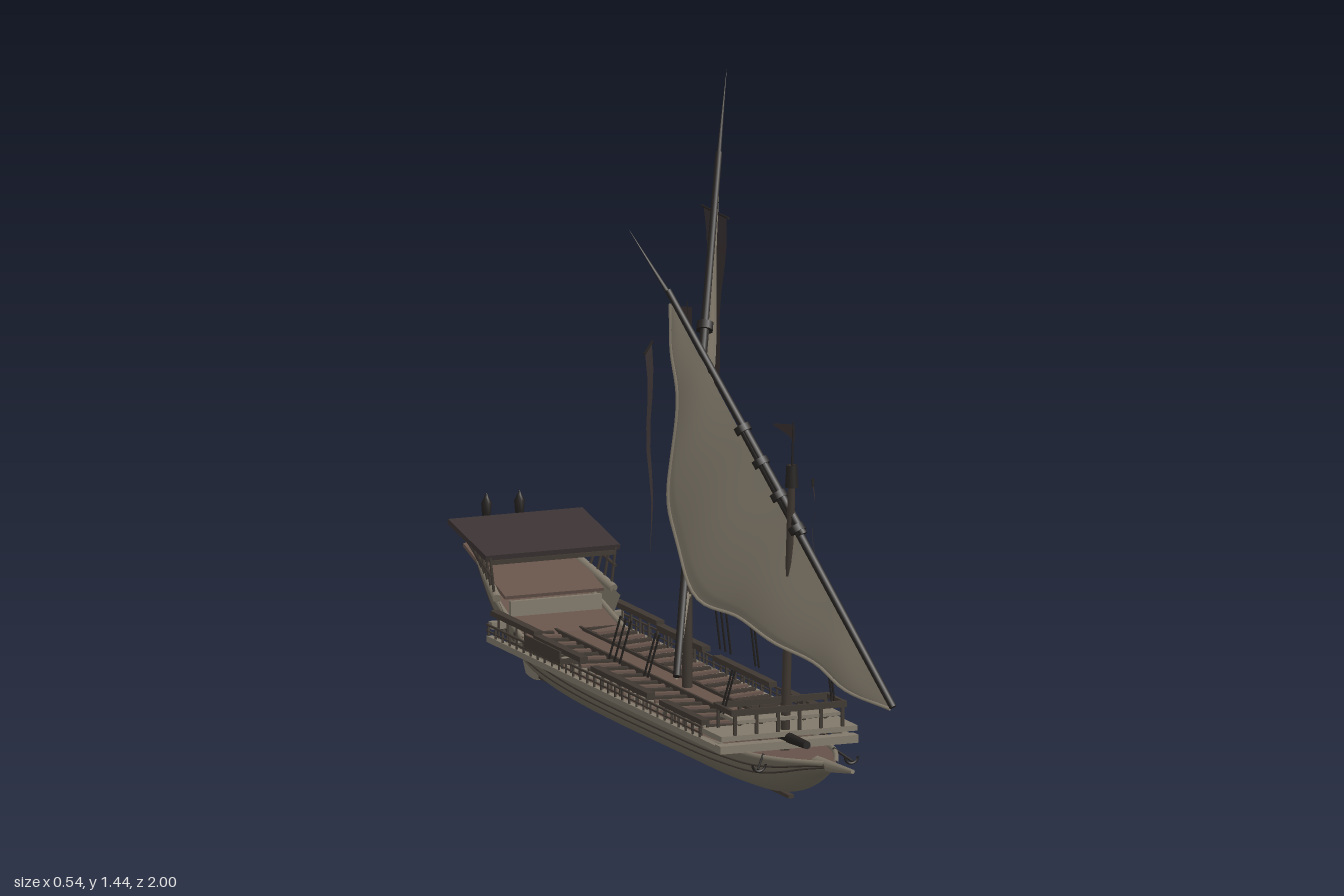
import * as THREE from 'three';

const mat = (name, color, side = THREE.FrontSide) => {
  const m = new THREE.MeshStandardMaterial({ color, side });
  m.name = name;
  return m;
};
const V = (x, y, z) => new THREE.Vector3(x, y, z);

export function createModel() {
  const hullWood = mat('weathered hull wood', 0x6f695b, THREE.DoubleSide);
  const paleWood = mat('pale wood', 0x81796a);
  const deckWood = mat('reddish deck wood', 0x66534a, THREE.DoubleSide);
  const darkWood = mat('dark wood', 0x3f3731);
  const spar = mat('black spar', 0x24211f);
  const canvas = mat('sail canvas', 0x857d6e, THREE.DoubleSide);
  const cloth = mat('dark cloth', 0x3a3233, THREE.DoubleSide);

  const model = new THREE.Group();
  model.name = 'galley';
  const ship = new THREE.Group();
  ship.name = 'ship';
  ship.position.x = -0.03;
  const rig = new THREE.Group();
  rig.name = 'rigging';
  model.add(ship, rig);

  const add = (parent, name, geo, m) => {
    const mesh = new THREE.Mesh(geo, m);
    mesh.name = name;
    parent.add(mesh);
    return mesh;
  };
  const box = (name, m, w, h, d, x, y, z) => {
    const mesh = add(ship, name, new THREE.BoxGeometry(w, h, d), m);
    mesh.position.set(x, y, z);
    return mesh;
  };
  // Round bar from a to b, radius r1 at a and r2 at b
  const bar = (parent, name, m, a, b, r1, r2 = r1, sides = 8) => {
    const mesh = add(parent, name, new THREE.CylinderGeometry(r2, r1, a.distanceTo(b), sides), m);
    mesh.position.copy(a).lerp(b, 0.5);
    mesh.quaternion.setFromUnitVectors(V(0, 1, 0), b.clone().sub(a).normalize());
    return mesh;
  };
  // Surface from rows of points
  const surface = (rows) => {
    const n = rows[0].length, idx = [];
    for (let i = 0; i < rows.length - 1; i++) for (let j = 0; j < n - 1; j++) {
      const a = i * n + j, b = a + n;
      idx.push(a, b, a + 1, b, b + 1, a + 1);
    }
    const g = new THREE.BufferGeometry().setFromPoints(rows.flat());
    g.setIndex(idx);
    g.computeVertexNormals();
    return g;
  };

  // Hull stations: z, half width, keel height, sheer height, sharpness
  const stations = [
    [0.87, 0.014, 0.112, 0.132, 1], [0.80, 0.045, 0.085, 0.126, 1], [0.74, 0.07, 0.055, 0.121, 1],
    [0.66, 0.097, 0.027, 0.118, 1], [0.50, 0.12, 0.015, 0.117, 1], [0.2, 0.133, 0.015, 0.117, 1],
    [-0.3, 0.133, 0.015, 0.12, 1], [-0.55, 0.126, 0.015, 0.142, 1.2], [-0.7, 0.12, 0.016, 0.185, 1.6],
    [-0.78, 0.115, 0.03, 0.215, 2], [-0.85, 0.108, 0.1, 0.25, 1.8], [-0.91, 0.1, 0.2, 0.28, 1.3],
    [-0.94, 0.092, 0.27, 0.295, 1]];
  const hullPoint = ([z, hw, yb, yt, e], t) => { // t from -1 (right rail) to 1 (left rail)
    const a = Math.abs(t) * Math.PI / 2;
    return V(Math.sign(t) * hw * Math.sin(a) ** e, yb + (yt - yb) * (1 - Math.cos(a)), z);
  };
  const hullCurves = [];
  for (let j = 0; j <= 24; j++)
    hullCurves.push(new THREE.CatmullRomCurve3(stations.map(s => hullPoint(s, j / 12 - 1))).getPoints(60));
  add(ship, 'hull', surface(hullCurves), hullWood);
  add(ship, 'deck', surface([hullCurves[0], hullCurves[24]].map(c => c.map(p => V(p.x * 0.98, p.y - 0.004, p.z)))), deckWood);
  for (const s of [-1, 1]) for (const t of [0.72, 0.84, 1]) {
    const c = new THREE.CatmullRomCurve3(stations.map(st => hullPoint(st, s * t)));
    add(ship, 'wale', new THREE.TubeGeometry(c, 60, t === 1 ? 0.006 : 0.0025, 6), t === 1 ? paleWood : darkWood);
  }
  bar(ship, 'bowSpur', paleWood, V(0, 0.118, 0.8), V(0, 0.138, 1.0), 0.018, 0.005);
  box('keel', darkWood, 0.014, 0.008, 1.42, 0, 0.014, -0.06);

  // Curved rudder blade
  const blade = new THREE.Shape();
  blade.moveTo(-0.765, 0.008);
  blade.quadraticCurveTo(-0.80, -0.002, -0.845, 0.008);
  blade.quadraticCurveTo(-0.89, 0.08, -0.945, 0.205);
  blade.lineTo(-0.925, 0.21);
  blade.quadraticCurveTo(-0.88, 0.085, -0.765, 0.016);
  const rudder = add(ship, 'rudder', new THREE.ExtrudeGeometry(blade, { depth: 0.012, bevelEnabled: false, curveSegments: 10 }), paleWood);
  rudder.rotation.y = -Math.PI / 2;
  rudder.position.x = 0.006;

  // Central gangway
  box('gangway', deckWood, 0.05, 0.03, 1.16, 0, 0.135, -0.04);
  for (const s of [-1, 1]) {
    box('gangwayEdge', darkWood, 0.006, 0.012, 1.16, s * 0.03, 0.15, -0.04);
    box('rowingDeck', deckWood, 0.05, 0.008, 1.2, s * 0.06, 0.128, -0.06);
    // Outrigger frame with its railing
    box('outriggerBeam', paleWood, 0.014, 0.014, 1.33, s * 0.158, 0.128, -0.03);
    box('outriggerFoot', darkWood, 0.006, 0.006, 1.26, s * 0.138, 0.118, -0.05);
    box('railTop', darkWood, 0.005, 0.004, 1.22, s * 0.162, 0.16, -0.09);
    box('railMiddle', darkWood, 0.003, 0.003, 1.22, s * 0.162, 0.146, -0.09);
    for (let i = 0; i <= 30; i++) {
      const z = 0.51 - i * 0.04;
      bar(ship, 'outriggerArm', darkWood, V(s * 0.115, 0.108, z), V(s * 0.16, 0.126, z), 0.003, 0.003, 5);
      box('railPost', darkWood, 0.004, 0.034, 0.004, s * 0.162, 0.144, z);
    }
    // Slanted rowing benches
    for (let i = 0; i < 27; i++) {
      const z = 0.48 - i * 0.042;
      box('bench', i % 2 ? deckWood : darkWood, 0.09, 0.006, 0.016, s * 0.085, 0.15, z).rotation.y = s * 0.2;
      box('benchLeg', darkWood, 0.006, 0.026, 0.006, s * 0.105, 0.137, z);
      box('footBoard', paleWood, 0.05, 0.005, 0.007, s * 0.115, 0.139, z + 0.02);
    }
    // Shields along the rail: start, end, height
    for (const [a, b, y] of [[0.51, 0.27, 0.168], [0.2, -0.12, 0.17], [-0.18, -0.44, 0.178], [-0.44, -0.69, 0.187]]) {
      box('shieldRail', darkWood, 0.02, 0.012, a - b, s * 0.148, y, (a + b) / 2);
      for (let z = a - 0.02; z > b; z -= 0.05) box('shieldPost', darkWood, 0.004, y - 0.128, 0.004, s * 0.15, (y + 0.128) / 2, z);
    }
    // Bow anchors
    bar(ship, 'anchorShank', spar, V(s * 0.085, 0.125, 0.69), V(s * 0.115, 0.1, 0.73), 0.003, 0.003, 6);
    const fluke = add(ship, 'anchorFluke', new THREE.TorusGeometry(0.016, 0.003, 6, 10, Math.PI), spar);
    fluke.position.set(s * 0.112, 0.112, 0.73);
    fluke.rotation.z = Math.PI;
    // Short shrouds
    for (const z of [0.58, 0.565, 0.15, 0.13, -0.01, -0.04, -0.07])
      bar(ship, 'shroud', spar, V(s * 0.135, 0.2, z), V(s * 0.115, 0.3, z + 0.02), 0.0025, 0.0025, 5);
  }

  // Forecastle
  box('foreYoke', paleWood, 0.335, 0.018, 0.03, 0, 0.13, 0.625);
  box('aftYoke', paleWood, 0.32, 0.016, 0.02, 0, 0.16, -0.685);
  box('forePlatform', paleWood, 0.33, 0.012, 0.11, 0, 0.155, 0.585);
  box('foreUpperPlatform', paleWood, 0.25, 0.008, 0.1, 0, 0.19, 0.587);
  for (const z of [0.54, 0.636]) {
    box('foreRail', darkWood, 0.28, 0.014, 0.008, 0, 0.212, z);
    for (let x = -0.13; x < 0.14; x += 0.052) box('foreRailPost', darkWood, 0.007, 0.06, 0.006, x, 0.182, z);
  }
  for (const s of [-1, 1]) box('foreSideRail', darkWood, 0.008, 0.012, 0.1, s * 0.136, 0.212, 0.588);
  // Bow gun
  bar(ship, 'bowGun', spar, V(0, 0.145, 0.6), V(0, 0.148, 0.74), 0.013, 0.009, 10);

  // Boarding platform on the right side
  box('sidePlatform', paleWood, 0.05, 0.008, 0.2, -0.16, 0.165, -0.33);
  for (let i = 0; i <= 5; i++) box('sidePlatformSlat', darkWood, 0.052, 0.012, 0.005, -0.16, 0.167, -0.23 - i * 0.04);
  box('sidePlatformRail', darkWood, 0.004, 0.03, 0.2, -0.184, 0.175, -0.33);

  // Stern castle with a sloping roof
  const roofY = z => 0.308 + (-0.7 - z) * 0.2, sillY = z => 0.222 + (-0.7 - z) * 0.32;
  box('sternRoof', cloth, 0.326, 0.012, 0.22, 0, roofY(-0.812), -0.812).rotation.x = Math.atan(0.2);
  for (let i = 0; i < 6; i++) {
    const z = -0.715 - i * 0.039;
    box('roofRafter', darkWood, 0.31, 0.008, 0.006, 0, roofY(z) - 0.01, z);
  }
  for (const s of [-1, 1]) {
    bar(ship, 'castleSill', paleWood, V(s * 0.142, sillY(-0.69), -0.69), V(s * 0.095, 0.3, -0.95), 0.01, 0.008);
    bar(ship, 'castleRail', darkWood, V(s * 0.15, 0.268, -0.7), V(s * 0.13, 0.322, -0.91), 0.004, 0.004, 6);
    add(ship, 'castleFlare', surface([0, 1].map(k => [-0.66, -0.75, -0.85, -0.94].map((z, i) =>
      k ? V(s * (0.145 - i * 0.016), sillY(z), z) : V(s * (0.121 - i * 0.01), 0.15 + i * 0.045, z)))), hullWood);
    for (let i = 0; i < 8; i++) {
      const z = -0.705 - i * 0.029;
      bar(ship, 'castlePost', darkWood, V(s * (0.142 - i * 0.005), sillY(z), z), V(s * 0.152, roofY(z), z), 0.0035, 0.0035, 5);
    }
  }
  box('castleFloor', deckWood, 0.24, 0.008, 0.25, 0, 0.255, -0.815).rotation.x = Math.atan(0.32);
  box('sternGallery', paleWood, 0.19, 0.014, 0.014, 0, 0.3, -0.95);
  box('castleFrontBeam', darkWood, 0.3, 0.01, 0.008, 0, 0.298, -0.705);
  box('castleStep', paleWood, 0.22, 0.05, 0.012, 0, 0.185, -0.69);

  // Stern lanterns
  for (const x of [-0.04, 0.04]) {
    const profile = [[0, 0.325], [0.004, 0.33], [0.01, 0.345], [0.012, 0.37], [0.005, 0.385], [0, 0.395]];
    const lantern = add(ship, 'lantern', new THREE.LatheGeometry(profile.map(p => new THREE.Vector2(...p)), 10), spar);
    lantern.position.set(x, 0, -0.988);
    bar(ship, 'lanternArm', spar, V(x, 0.3, -0.95), V(x, 0.33, -0.988), 0.0015, 0.0015, 5);
  }

  // Masts
  bar(ship, 'mainMast', darkWood, V(0, 0.1, 0.06), V(0, 0.85, 0.06), 0.012, 0.009, 10);
  bar(ship, 'mainFlagPole', spar, V(0, 0.84, 0.06), V(0, 1.03, 0.06), 0.003, 0.001, 6);
  bar(ship, 'foreMast', darkWood, V(0, 0.1, 0.612), V(0, 0.77, 0.655), 0.011, 0.008, 10);
  bar(ship, 'foreFlagPole', spar, V(0, 0.76, 0.655), V(0, 0.87, 0.66), 0.003, 0.001, 6);
  for (const [y, z] of [[0.82, 0.06], [0.74, 0.653]]) bar(ship, 'mastHead', spar, V(0, y - 0.02, z), V(0, y + 0.03, z), 0.016, 0.013, 8);

  // Lateen yard with sail: foot and tip of the yard, free edge as [z, y], belly depth
  function lateen(name, a, b, tip, edge, belly) {
    const at = (k) => a.clone().lerp(b, k);
    bar(rig, name + 'YardLower', spar, a, at(0.66), 0.009, 0.011);
    bar(rig, name + 'YardUpper', spar, at(0.4).add(V(0, 0.014, 0)), b, 0.011, 0.008);
    bar(rig, name + 'YardTip', spar, at(0.97), tip, 0.006, 0.0005, 6);
    for (let k = 0.42; k < 0.68; k += 0.08) bar(rig, name + 'Lashing', spar, at(k), at(k + 0.015), 0.02, 0.02);
    const planeX = z => a.x + (b.x - a.x) * (z - a.z) / (b.z - a.z);
    const curve = new THREE.CatmullRomCurve3(edge.map(([z, y]) => V(planeX(z), y, z)));
    const rows = [];
    for (let i = 0; i <= 48; i++) {
      const u = i / 48, top = at(0.01 + u * 0.97).add(V(0, -0.016, 0)), low = curve.getPoint(u), row = [];
      for (let j = 0; j <= 20; j++) {
        const v = j / 20, p = top.clone().lerp(low, v), s = Math.sin(Math.PI * u);
        p.x += belly * s * Math.sin(v * 2.2) + 0.005 * s * v * Math.sin(u * 30 + v * 3);
        if (v > 0.93) p.x += 0.008 * s;
        row.push(p);
      }
      rows.push(row);
    }
    add(rig, name + 'Sail', surface(rows), canvas);
    const hem = new THREE.CatmullRomCurve3(rows.map(r => r[20]));
    add(rig, name + 'SailHem', new THREE.TubeGeometry(hem, 60, 0.004, 5), canvas);
  }
  lateen('main', V(-0.195, 0.25, 0.385), V(0.2, 1.28, -0.3), V(0.27, 1.44, -0.42),
    [[0.38, 0.245], [0.27, 0.30], [0.16, 0.375], [0.06, 0.36], [-0.02, 0.4], [-0.13, 0.425], [-0.22, 0.5],
      [-0.275, 0.61], [-0.27, 0.74], [-0.285, 0.92], [-0.285, 1.1], [-0.29, 1.25]], -0.03);
  lateen('fore', V(0.118, 0.25, 0.882), V(-0.203, 1.125, 0.355), V(-0.26, 1.25, 0.27),
    [[0.875, 0.245], [0.77, 0.275], [0.7, 0.325], [0.61, 0.36], [0.52, 0.405], [0.44, 0.43], [0.39, 0.52],
      [0.365, 0.62], [0.37, 0.75], [0.378, 0.9], [0.365, 1.0], [0.36, 1.095]], -0.018);

  // Hanging pennants: two top corners and the lower point
  function pennant(name, a, b, c) {
    const rows = [];
    for (let i = 0; i <= 8; i++) {
      const k = i / 8 * 0.95, sway = V(0.004 * Math.sin(i * 1.3), 0, 0);
      rows.push([a.clone().lerp(c, k).add(sway), b.clone().lerp(c, k).add(sway)]);
    }
    add(rig, name, surface(rows), cloth);
    const over = b.clone().sub(a).multiplyScalar(0.08);
    bar(rig, name + 'Pole', spar, a.clone().sub(over), b.clone().add(over), 0.003, 0.003, 6);
  }
  pennant('mainYardPennant', V(0.21, 1.135, -0.28), V(0.21, 1.135, -0.41), V(0.21, 0.645, -0.345));
  pennant('foreYardPennant', V(-0.265, 0.99, 0.37), V(-0.205, 0.99, 0.268), V(-0.228, 0.5, 0.32));
  pennant('mainMastPennant', V(-0.05, 0.83, 0.145), V(-0.02, 0.83, 0.06), V(-0.035, 0.58, 0.12));
  pennant('foreMastPennant', V(0, 0.73, 0.702), V(0.025, 0.73, 0.645), V(0.02, 0.45, 0.672));

  // Masthead flags
  for (const [y, z] of [[1.0, 0.085], [0.845, 0.67]])
    add(rig, 'mastFlag', surface([[V(-0.03, y + 0.02, z), V(-0.025, y + 0.01, z - 0.06), V(-0.03, y, z - 0.12)],
      [V(-0.03, y - 0.02, z), V(-0.025, y - 0.012, z - 0.06), V(-0.03, y - 0.004, z - 0.12)]]), cloth);

  return model;
}
